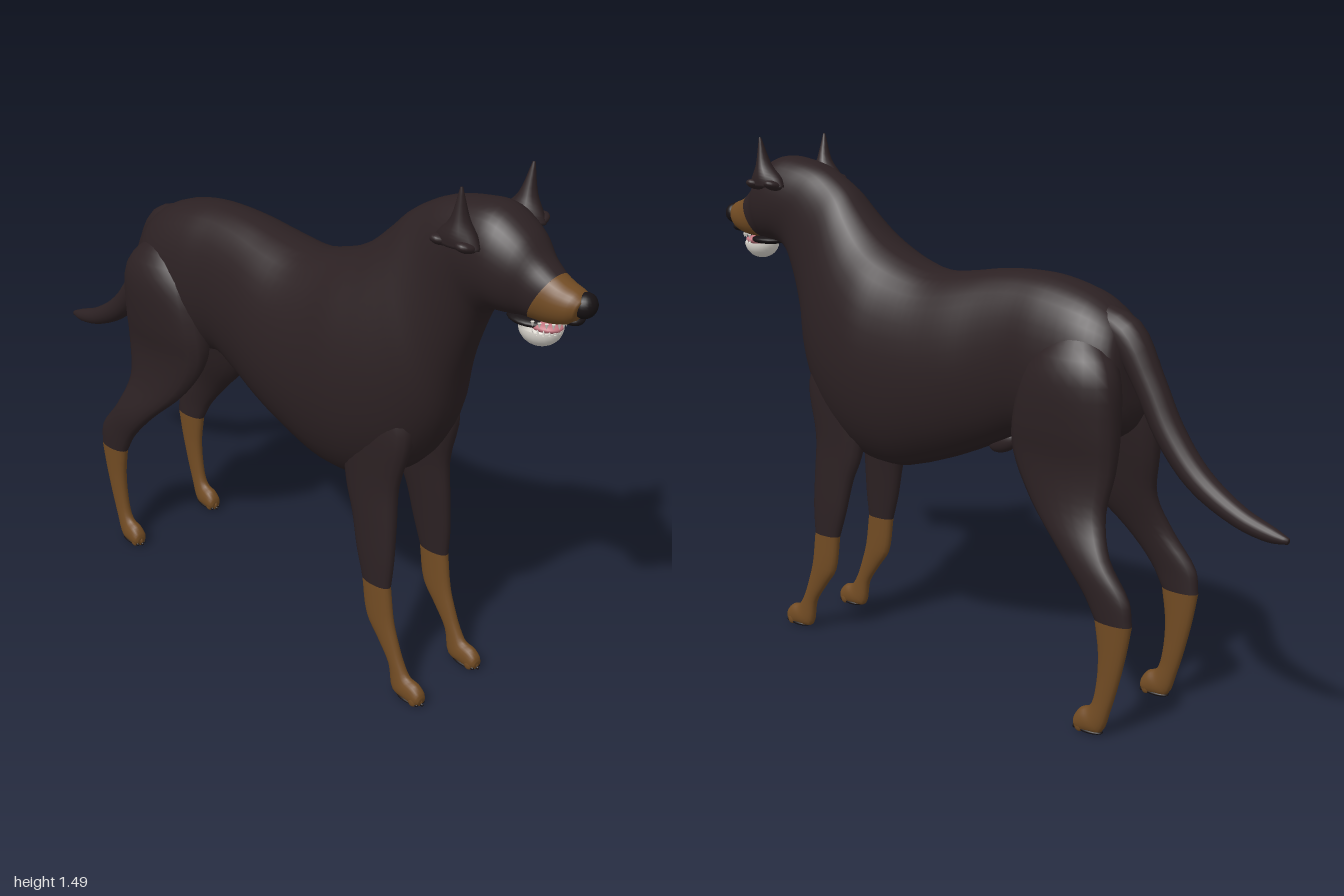
import * as THREE from 'three';

const mat = (name, color, side = THREE.FrontSide) => {
  const m = new THREE.MeshStandardMaterial({ color, side });
  m.name = name;
  return m;
};

// Smooth skin over rings [aZ, aY, bZ, bY, halfWidth, centreX]; a and b are opposite points of a ring.
function loft(rings, { x = 0, capStart = true, capEnd = true, sides = 28, steps = 4, power = 0.85 } = {}) {
  const A = new THREE.CatmullRomCurve3(rings.map(r => new THREE.Vector3(r[4], r[1], r[0])));
  const B = new THREE.CatmullRomCurve3(rings.map(r => new THREE.Vector3((r[5] || 0) * x, r[3], r[2])));
  const pos = [], index = [], n = (rings.length - 1) * steps;
  const addRing = (t, size) => {
    const a = A.getPoint(t), b = B.getPoint(t);
    for (let j = 0; j < sides; j++) {
      const ang = (j / sides) * Math.PI * 2, s = Math.sin(ang);
      const k = 0.5 - 0.5 * Math.cos(ang) * size;
      pos.push(b.x + Math.sign(s) * Math.abs(s) ** power * a.x * size,
        a.y + (b.y - a.y) * k, a.z + (b.z - a.z) * k);
    }
  };
  if (capStart) addRing(0, 0.001);
  for (let i = 0; i <= n; i++) addRing(i / n, 1);
  if (capEnd) addRing(1, 0.001);
  const count = pos.length / 3 / sides;
  for (let i = 0; i < count - 1; i++) for (let j = 0; j < sides; j++) {
    const p = i * sides + j, q = i * sides + (j + 1) % sides;
    index.push(p, p + sides, q + sides, p, q + sides, q);
  }
  const g = new THREE.BufferGeometry();
  g.setAttribute('position', new THREE.Float32BufferAttribute(pos, 3));
  g.setIndex(index);
  g.computeVertexNormals();
  return g;
}

export function createModel() {
  const dog = new THREE.Group();
  dog.name = 'dog';
  const coat = mat('dark coat', 0x2c2123, THREE.DoubleSide);
  const tan = mat('tan markings', 0x714b23, THREE.DoubleSide);
  const black = mat('black nose', 0x171214);
  const white = mat('white teeth', 0xdedad2, THREE.DoubleSide);
  const pink = mat('pink tongue', 0xc47680);

  const add = (name, geometry, material) => {
    const m = new THREE.Mesh(geometry, material);
    m.name = name;
    dog.add(m);
    return m;
  };
  const blob = (name, material, p, r) => {
    const m = add(name, new THREE.SphereGeometry(1, 20, 14), material);
    m.position.set(...p);
    m.scale.set(...r);
    return m;
  };

  // Torso, neck and skull in one skin
  add('body', loft([
    [-0.52, 1.035, -0.53, 0.93, 0.05],
    [-0.495, 1.08, -0.53, 0.80, 0.095],
    [-0.42, 1.13, -0.45, 0.74, 0.13],
    [-0.30, 1.163, -0.30, 0.715, 0.138],
    [-0.20, 1.17, -0.20, 0.728, 0.133],
    [-0.10, 1.165, -0.10, 0.685, 0.142],
    [0.00, 1.15, 0.00, 0.64, 0.16],
    [0.12, 1.14, 0.10, 0.60, 0.172],
    [0.22, 1.165, 0.25, 0.557, 0.18],
    [0.30, 1.20, 0.38, 0.57, 0.183],
    [0.36, 1.24, 0.51, 0.65, 0.166],
    [0.42, 1.295, 0.60, 0.79, 0.138],
    [0.465, 1.34, 0.635, 0.94, 0.114],
    [0.51, 1.37, 0.67, 1.05, 0.1],
    [0.57, 1.40, 0.71, 1.14, 0.095],
    [0.65, 1.42, 0.745, 1.165, 0.099],
    [0.74, 1.425, 0.775, 1.17, 0.099],
    [0.82, 1.38, 0.80, 1.172, 0.084],
    [0.865, 1.33, 0.82, 1.175, 0.066],
    [0.905, 1.298, 0.84, 1.175, 0.056],
  ], { capEnd: false, sides: 36 }), coat);

  // Muzzle and nose
  add('muzzle', loft([
    [0.905, 1.298, 0.84, 1.175, 0.056],
    [0.93, 1.285, 0.90, 1.178, 0.051],
    [0.96, 1.275, 0.945, 1.19, 0.043],
    [0.98, 1.26, 0.965, 1.205, 0.03],
  ], { capStart: false }), tan);
  blob('nose', black, [0.008, 1.24, 0.972], [0.032, 0.031, 0.028]);
  blob('upperLip', black, [0.006, 1.2, 0.95], [0.026, 0.014, 0.022]);

  // Open mouth: pale lower jaw, tongue, gums and teeth
  const jaw = add('lowerJaw', new THREE.SphereGeometry(1, 24, 10, 0, Math.PI * 2, Math.PI / 2, Math.PI / 2), white);
  jaw.position.set(0, 1.158, 0.862);
  jaw.scale.set(0.05, 0.048, 0.055);
  blob('gums', black, [0, 1.168, 0.83], [0.046, 0.014, 0.06]);
  blob('tongue', pink, [0, 1.164, 0.878], [0.036, 0.014, 0.042]);
  for (let i = 0; i < 11; i++) {
    const a = -1.5 + i * 0.3;
    for (const up of [0, 1]) {
      const tooth = add(up ? 'upperTooth' : 'lowerTooth', new THREE.ConeGeometry(0.005, 0.014, 6), white);
      tooth.position.set(Math.sin(a) * 0.044, up ? 1.177 : 1.16, 0.865 + Math.cos(a) * (up ? 0.06 : 0.048));
      tooth.rotation.x = up ? Math.PI : 0;
    }
  }

  // Tail: tapering sweep
  const tail = [[-0.38, 1.085, 0.04], [-0.51, 1.035, 0.05], [-0.585, 0.92, 0.042], [-0.65, 0.80, 0.04],
    [-0.74, 0.695, 0.036], [-0.86, 0.622, 0.028], [-0.95, 0.595, 0.02], [-0.995, 0.588, 0.008]];
  add('tail', loft(tail.map(([z, y, r], i) => {
    const p = tail[Math.max(i - 1, 0)], q = tail[Math.min(i + 1, tail.length - 1)];
    const dz = q[0] - p[0], dy = q[1] - p[1], l = Math.hypot(dz, dy);
    return [z - dy / l * r, y + dz / l * r, z + dy / l * r, y - dz / l * r, r, 0.012];
  }), { x: 1, sides: 18, power: 1 }), coat);

  blob('sheath', coat, [0, 0.683, -0.105], [0.022, 0.028, 0.055]).rotation.x = 0.4;

  for (const s of [1, -1]) {
    const side = s > 0 ? 'left' : 'right';

    // Front leg with tan sock and paw
    add(side + 'FrontLeg', loft([
      [0.50, 0.92, 0.34, 0.92, 0.035, 0.085],
      [0.56, 0.78, 0.33, 0.76, 0.046, 0.09],
      [0.53, 0.62, 0.355, 0.58, 0.034, 0.1],
      [0.533, 0.50, 0.385, 0.50, 0.029, 0.107],
      [0.535, 0.40, 0.41, 0.40, 0.025, 0.113],
      [0.53, 0.32, 0.435, 0.32, 0.021, 0.116],
    ], { x: s, capEnd: false, sides: 20 }), coat);
    add(side + 'FrontSock', loft([
      [0.53, 0.32, 0.435, 0.32, 0.021, 0.116],
      [0.545, 0.22, 0.455, 0.21, 0.02, 0.116],
      [0.562, 0.165, 0.495, 0.155, 0.018, 0.116],
      [0.588, 0.10, 0.54, 0.09, 0.017, 0.116],
      [0.61, 0.07, 0.56, 0.012, 0.02, 0.116],
      [0.638, 0.062, 0.60, 0.002, 0.022, 0.116],
      [0.655, 0.045, 0.643, 0.002, 0.02, 0.116],
      [0.66, 0.03, 0.657, 0.01, 0.013, 0.116],
    ], { x: s, capStart: false, sides: 20 }), tan);

    // Hind leg with thigh, hock, tan sock and paw
    add(side + 'HindLeg', loft([
      [-0.36, 1.07, -0.45, 1.05, 0.035, 0.06],
      [-0.27, 0.95, -0.535, 0.95, 0.075, 0.09],
      [-0.222, 0.80, -0.55, 0.80, 0.07, 0.096],
      [-0.222, 0.71, -0.545, 0.69, 0.052, 0.1],
      [-0.295, 0.59, -0.53, 0.58, 0.04, 0.118],
      [-0.42, 0.47, -0.565, 0.48, 0.033, 0.148],
      [-0.50, 0.38, -0.635, 0.385, 0.026, 0.156],
      [-0.535, 0.32, -0.645, 0.32, 0.023, 0.156],
    ], { x: s, capEnd: false, sides: 20 }), coat);
    add(side + 'HindSock', loft([
      [-0.535, 0.32, -0.645, 0.32, 0.023, 0.156],
      [-0.548, 0.23, -0.63, 0.24, 0.02, 0.156],
      [-0.545, 0.15, -0.608, 0.15, 0.018, 0.156],
      [-0.532, 0.09, -0.587, 0.08, 0.018, 0.156],
      [-0.52, 0.075, -0.56, 0.01, 0.021, 0.156],
      [-0.497, 0.065, -0.53, 0.002, 0.024, 0.156],
      [-0.482, 0.045, -0.492, 0.002, 0.022, 0.156],
      [-0.478, 0.03, -0.48, 0.01, 0.014, 0.156],
    ], { x: s, capStart: false, sides: 20 }), tan);

    // Toes, claws and pads
    for (const [zTip, x] of [[0.645, 0.116], [-0.49, 0.156]]) {
      for (const k of [-1, 0, 1]) {
        const z = zTip - Math.abs(k) * 0.008;
        blob(side + 'Toe', tan, [s * x + k * 0.013, 0.018, z], [0.009, 0.018, 0.015]);
        blob(side + 'Claw', black, [s * x + k * 0.013, 0.01, z + 0.013], [0.004, 0.005, 0.007]);
      }
      blob(side + 'Pad', black, [s * x, 0.008, zTip - 0.032], [0.02, 0.008, 0.042]);
    }

    // Pricked ear with folded base
    add(side + 'Ear', loft([
      [0.715, 1.487, 0.708, 1.487, 0.003, 0.13],
      [0.73, 1.41, 0.683, 1.41, 0.023, 0.123],
      [0.752, 1.37, 0.645, 1.37, 0.034, 0.12],
      [0.765, 1.345, 0.63, 1.345, 0.03, 0.122],
    ], { x: s, sides: 12, power: 1 }), coat);
    for (const [z, y] of [[0.66, 1.35], [0.735, 1.35]])
      blob(side + 'EarFold', coat, [s * 0.133, y, z], [0.03, 0.014, 0.024]).rotation.z = s * 0.3;
  }
  return dog;
}
